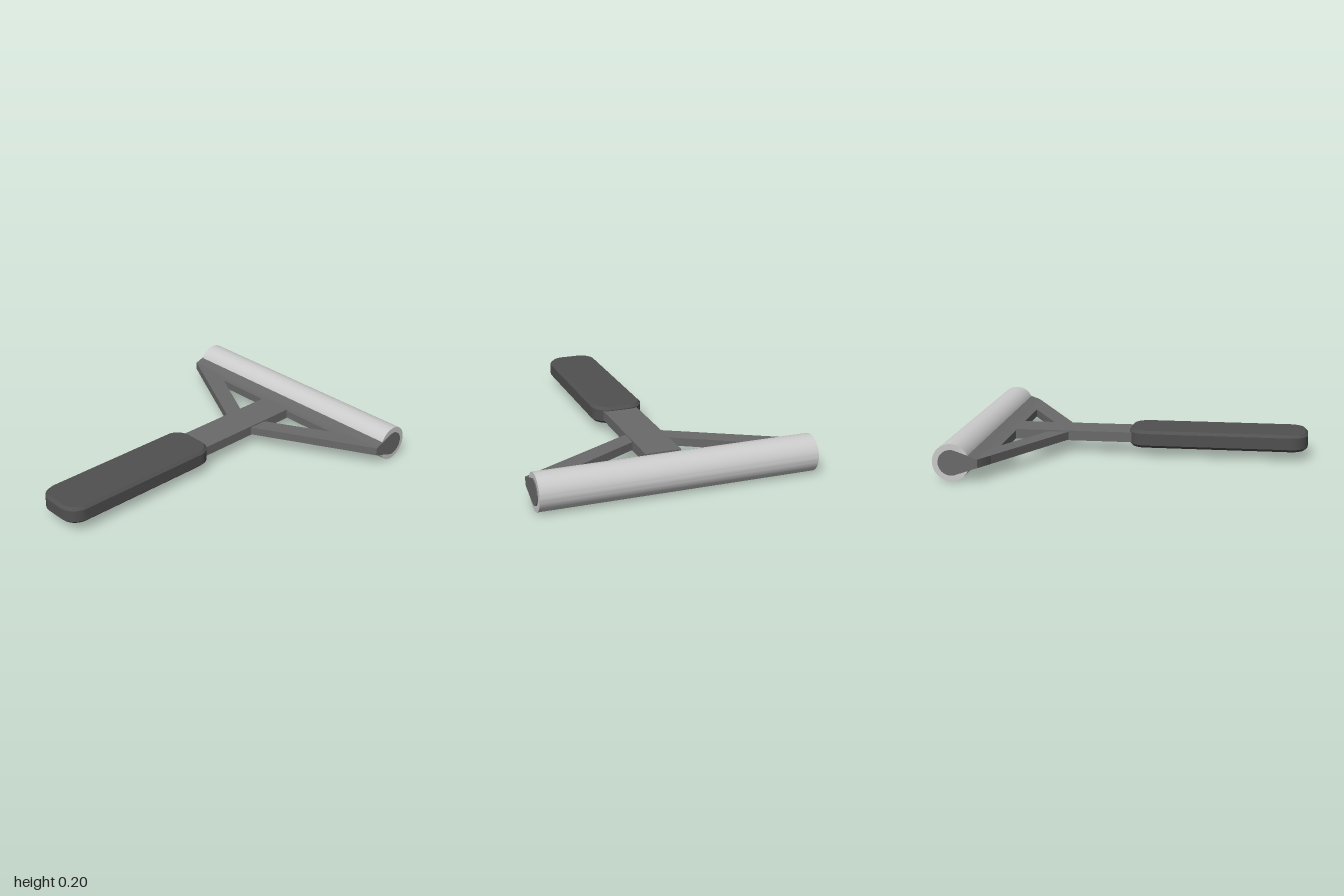
import * as THREE from 'three';
import { toCreasedNormals } from 'three/addons/utils/BufferGeometryUtils.js';

const AXIS_Y = 0.1025, AXIS_Z = -0.8975, HALF = 0.775;

function makeMesh(name, geometry, color) {
  const mesh = new THREE.Mesh(
    toCreasedNormals(geometry, Math.PI / 6),
    new THREE.MeshStandardMaterial({ color })
  );
  mesh.name = name;
  return mesh;
}

// Extrudes an outline drawn in (x, z) downward from the height top.
function slab(shape, top, depth, options = {}) {
  return new THREE.ExtrudeGeometry(shape, { depth, bevelEnabled: false, ...options })
    .rotateX(Math.PI / 2).translate(0, top, 0);
}

function roundedRect(x0, z0, x1, z1, r) {
  const s = new THREE.Shape();
  s.absarc(x1 - r, z0 + r, r, -Math.PI / 2, 0);
  s.absarc(x1 - r, z1 - r, r, 0, Math.PI / 2);
  s.absarc(x0 + r, z1 - r, r, Math.PI / 2, Math.PI);
  s.absarc(x0 + r, z0 + r, r, Math.PI, Math.PI * 1.5);
  s.closePath();
  return s;
}

export function createModel() {
  const model = new THREE.Group();
  model.name = 'handRoller';
  const frameColor = 0x6a6a6a;

  // Roller sleeve
  const roller = makeMesh('roller', new THREE.CylinderGeometry(0.1025, 0.1025, 1.54, 64), 0xcccccc);
  roller.rotation.z = Math.PI / 2;
  roller.position.set(0, AXIS_Y, AXIS_Z);
  model.add(roller);

  // Crossbar flaring into the round core; profile drawn in (-z, y)
  const profile = new THREE.Shape();
  const a = THREE.MathUtils.degToRad(110);
  profile.moveTo(0.70, AXIS_Y - 0.023);
  profile.lineTo(0.75, AXIS_Y - 0.023);
  profile.absarc(-AXIS_Z, AXIS_Y, 0.07, -a, a);
  profile.lineTo(0.75, AXIS_Y + 0.023);
  profile.lineTo(0.70, AXIS_Y + 0.023);
  profile.closePath();
  // The front corners are trimmed by starting the bar ends at z = -0.75
  const barGeometry = new THREE.ExtrudeGeometry(profile, {
    depth: 2 * HALF, bevelEnabled: false, curveSegments: 40
  }).rotateY(Math.PI / 2).translate(-HALF, 0, 0);
  const pos = barGeometry.attributes.position;
  for (let i = 0; i < pos.count; i++) {
    if (pos.getZ(i) > -0.71) pos.setX(i, Math.sign(pos.getX(i)) * 0.683);
  }
  barGeometry.computeVertexNormals();
  model.add(makeMesh('crossbarAndCore', barGeometry, frameColor));

  // Diagonal braces, mirrored
  for (const side of [1, -1]) {
    const points = [[0.09, -0.38], [HALF, -0.75], [0.55, -0.75], [0.09, -0.495]];
    const brace = new THREE.Shape(points.map(([x, z]) => new THREE.Vector2(side * x, z)));
    model.add(makeMesh(side > 0 ? 'leftBrace' : 'rightBrace',
      slab(brace, AXIS_Y + 0.0235, 0.047), frameColor));
  }

  // Stem
  const stem = makeMesh('stem', new THREE.BoxGeometry(0.205, 0.058, 0.74), frameColor);
  stem.position.set(0, AXIS_Y + 0.002, -0.33);
  model.add(stem);

  // Grip with rounded corners and chamfered rims
  const c = 0.016;
  const outline = roundedRect(-0.152 + c, -0.03 + c, 0.152 - c, 1 - c, 0.085);
  model.add(makeMesh('grip', slab(outline, 0.155 - c, 0.1 - 2 * c, {
    bevelEnabled: true, bevelSize: c, bevelThickness: c, bevelSegments: 1, curveSegments: 10
  }), 0x505050));

  return model;
}
